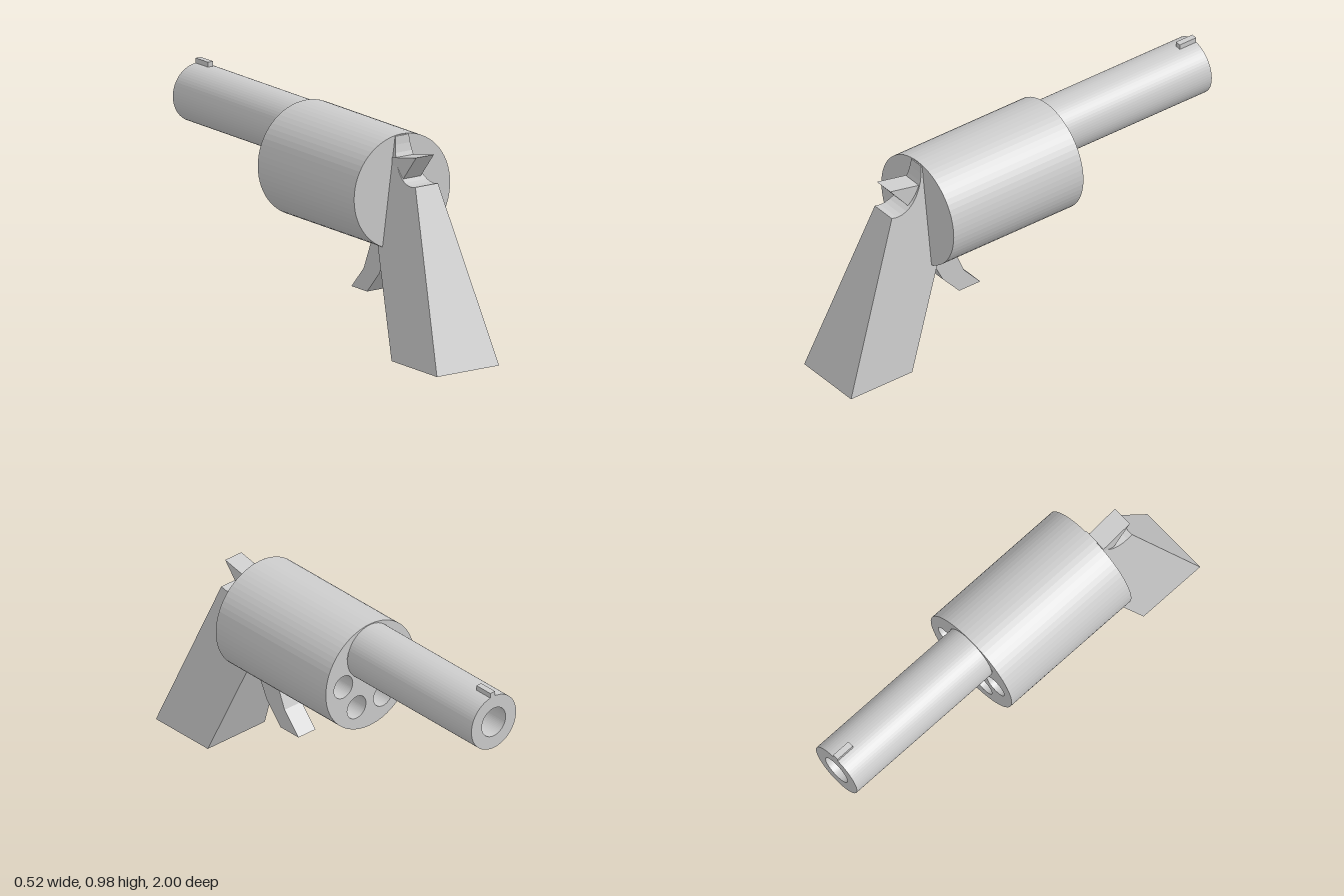
import * as THREE from 'three';

const material = new THREE.MeshStandardMaterial({ color: 0xcccccc, flatShading: true });

function part(name, geometry) {
  const mesh = new THREE.Mesh(geometry, material);
  mesh.name = name;
  return mesh;
}

// Round bar along z with round holes [x, y, radius] cut through it
function bar(radius, y, z0, z1, holes = []) {
  const shape = new THREE.Shape();
  shape.absarc(0, 0, radius, 0, Math.PI * 2);
  for (const [hx, hy, r] of holes) {
    const hole = new THREE.Path();
    hole.absarc(hx, hy, r, 0, Math.PI * 2, true);
    shape.holes.push(hole);
  }
  const g = new THREE.ExtrudeGeometry(shape, { depth: z1 - z0, bevelEnabled: false, curveSegments: 32 });
  return g.translate(0, y, z0);
}

// Side outline given in (z, y), extruded across x and centred there
function slab(shape, width) {
  const g = new THREE.ExtrudeGeometry(shape, { depth: width, bevelEnabled: false, curveSegments: 10 });
  return g.translate(0, 0, -width / 2).rotateY(-Math.PI / 2);
}

const outline = (points) => new THREE.Shape(points.map(([z, y]) => new THREE.Vector2(z, y)));

export function createModel() {
  const model = new THREE.Group();

  // Drum with six blind chambers, closed at the rear
  const chambers = [];
  for (let i = 0; i < 6; i++) {
    const a = (i * Math.PI) / 3;
    chambers.push([0.155 * Math.cos(a), 0.155 * Math.sin(a), 0.055]);
  }
  model.add(part('drum', bar(0.258, 0.704, -0.2, 0.46, chambers)));
  model.add(part('drumBack', bar(0.258, 0.704, 0.46, 0.51)));

  // Hollow barrel
  model.add(part('barrel', bar(0.131, 0.827, -1, -0.2, [[0, 0, 0.07]])));

  // Front sight
  const sight = part('sight', new THREE.BoxGeometry(0.028, 0.04, 0.09));
  sight.position.set(0.006, 0.96, -0.955);
  model.add(sight);

  // Slanted grip with a hollowed rear top, narrowing upwards
  const gripShape = outline([[1, 0], [0.695, 0.77]]);
  gripShape.bezierCurveTo(0.6, 0.74, 0.52, 0.83, 0.515, 0.957);
  gripShape.lineTo(0.276, 0.957);
  gripShape.lineTo(0.665, 0);
  gripShape.closePath();
  const grip = slab(gripShape, 2);
  const pos = grip.attributes.position;
  for (let i = 0; i < pos.count; i++) {
    pos.setX(i, pos.getX(i) * (0.167 - 0.138 * pos.getY(i)) - 0.003);
  }
  grip.computeVertexNormals();
  model.add(part('grip', grip));

  // Hammer
  const hammer = slab(outline([[0.69, 0.9], [0.59, 0.78], [0.45, 0.78], [0.45, 0.85]]), 0.095);
  model.add(part('hammer', hammer.translate(-0.008, 0, 0)));

  // Trigger
  const trigger = slab(outline([
    [0.5, 0.5], [0.41, 0.32], [0.32, 0.22], [0.205, 0.22], [0.295, 0.32], [0.37, 0.5],
  ]), 0.1);
  model.add(part('trigger', trigger));

  return model;
}
